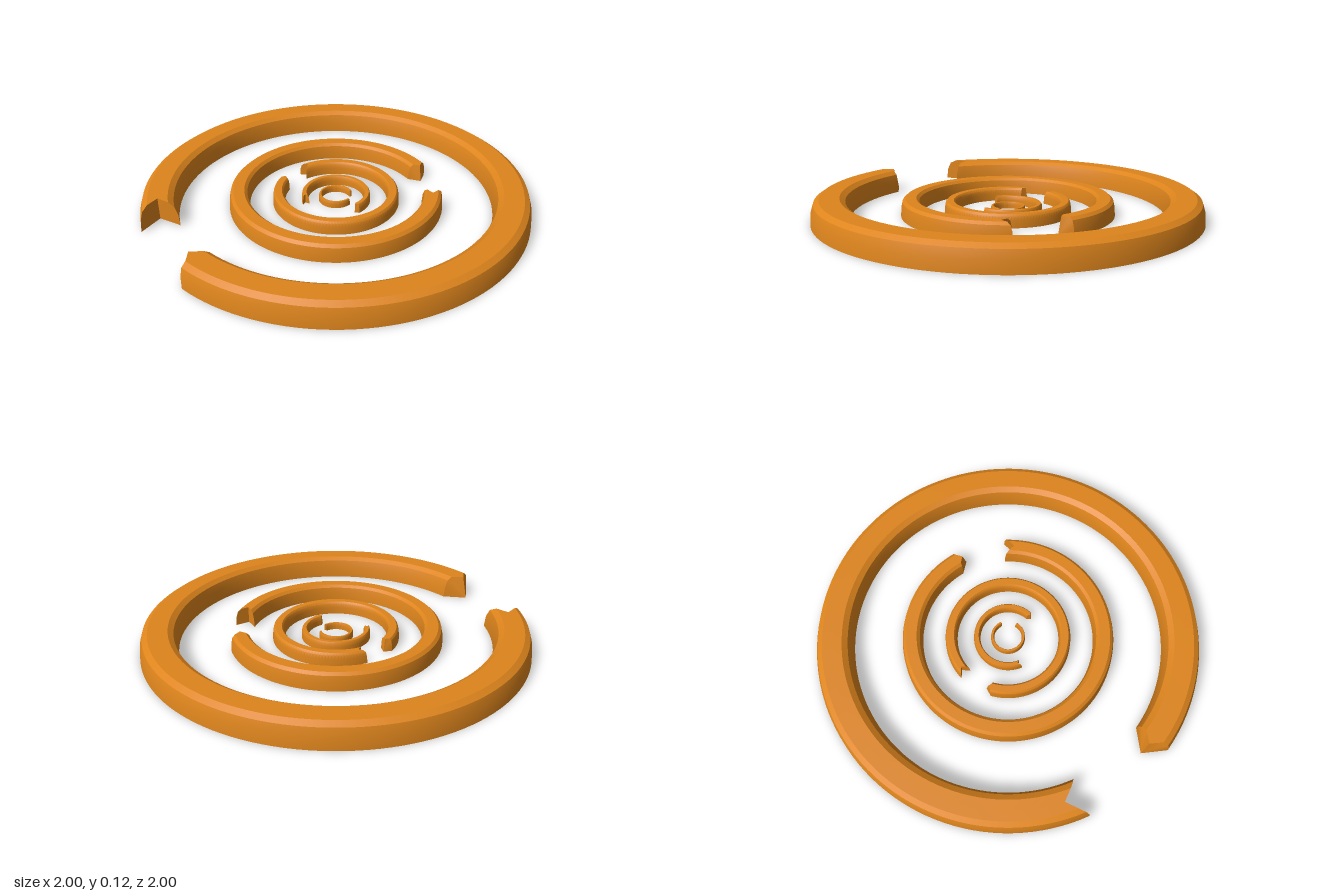
import * as THREE from 'three';
import { toCreasedNormals } from 'three/addons/utils/BufferGeometryUtils.js';

const DEG = Math.PI / 180;
const SEGMENTS = 120;
const MID = 0.905, HALF = 0.095, POINT = 6; // band centre, half width, arrow depth in degrees

// Cross-section of a ring of radius 1: [radius, height, tip set-back in degrees]
const PROFILE = [
  [1, 0, 0], [0.995, 0.06, 0], [0.982, 0.1, 0.6], [0.955, 0.118, 2],
  [MID, 0.118, 2.2],
  [0.855, 0.118, 2], [0.828, 0.1, 0.6], [0.815, 0.06, 0], [0.81, 0, 0],
  [MID, 0, 0],
];

// Open ring from a notched end (start) to a pointed end (end), angles from +x towards +z
function brokenRing(radius, start, end) {
  const n = PROFILE.length;
  const heightScale = Math.sqrt(radius);
  const pos = [], index = [];

  for (let i = 0; i <= SEGMENTS; i++) {
    for (const [r, y, setBack] of PROFILE) {
      const point = POINT * (1 - Math.abs(r - MID) / HALF);
      const a = THREE.MathUtils.lerp(start + point, end + point - setBack, i / SEGMENTS) * DEG;
      pos.push(r * radius * Math.cos(a), y * heightScale, r * radius * Math.sin(a));
    }
  }
  for (let i = 0; i < SEGMENTS; i++) {
    for (let j = 0; j < n; j++) {
      const a = i * n + j, b = i * n + (j + 1) % n;
      index.push(a, b, a + n, b, b + n, a + n);
    }
  }
  // End faces fan out from the middle of the base
  const last = SEGMENTS * n;
  for (let j = 0; j < n - 2; j++) {
    index.push(n - 1, j + 1, j);
    index.push(last + n - 1, last + j, last + j + 1);
  }
  const geo = new THREE.BufferGeometry();
  geo.setAttribute('position', new THREE.Float32BufferAttribute(pos, 3));
  geo.setIndex(index);
  return toCreasedNormals(geo, 30 * DEG);
}

export function createModel() {
  const model = new THREE.Group();
  model.name = 'brokenRings';
  const material = new THREE.MeshStandardMaterial({ color: 0xdd841c });

  // Concentric rings: name, outer radius, notched end, pointed end
  const rings = [
    ['outerRing', 1, 165, 495],
    ['secondRing', 0.555, 6, 335],
    ['thirdRing', 0.33, 235.5, 564],
    ['fourthRing', 0.18, 164.5, 411],
    ['innerRing', 0.09, 39, 340],
  ];
  for (const [name, radius, start, end] of rings) {
    const mesh = new THREE.Mesh(brokenRing(radius, start, end), material);
    mesh.name = name;
    model.add(mesh);
  }
  return model;
}
